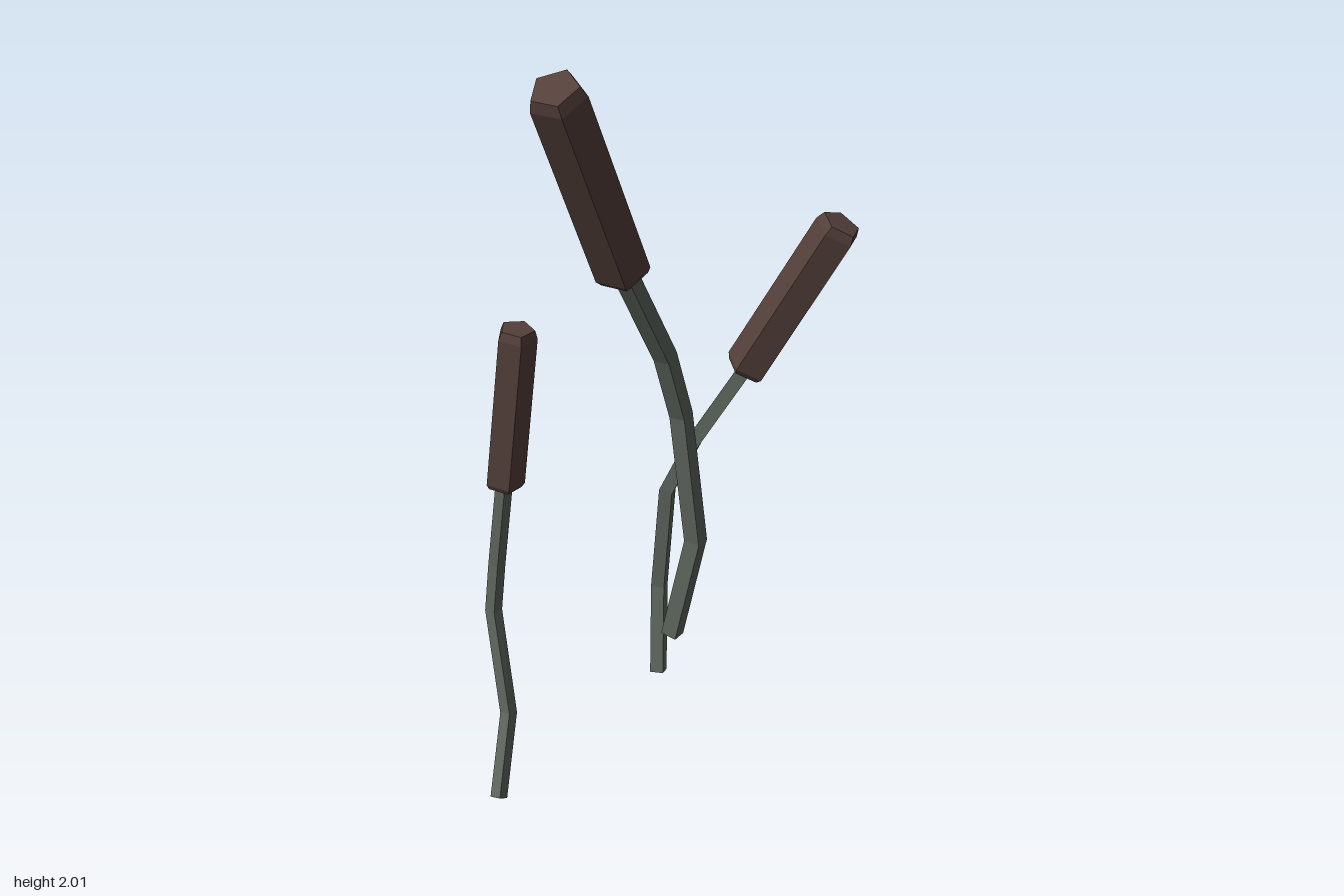
import * as THREE from 'three';

const V = (p) => new THREE.Vector3(...p);
const stemMat = new THREE.MeshStandardMaterial({ color: 0x5c645b, flatShading: true });
const headMat = new THREE.MeshStandardMaterial({ color: 0x54403a, flatShading: true });

// Closed prism swept along points, its sides turned towards the lean direction
function sweep(points, radii, sides, phase, lean) {
  const rings = points.map((p, i) => {
    const t = new THREE.Vector3();
    if (i > 0) t.add(p.clone().sub(points[i - 1]).normalize());
    if (i < points.length - 1) t.add(points[i + 1].clone().sub(p).normalize());
    t.normalize();
    const u = lean.clone().addScaledVector(t, -lean.dot(t)).normalize();
    const v = t.clone().cross(u);
    return Array.from({ length: sides }, (_, k) => {
      const a = phase + (k / sides) * Math.PI * 2;
      return p.clone()
        .addScaledVector(u, Math.cos(a) * radii[i])
        .addScaledVector(v, Math.sin(a) * radii[i]);
    });
  });
  const tris = [];
  const last = rings.length - 1;
  for (let k = 0; k < sides; k++) {
    const n = (k + 1) % sides;
    for (let i = 0; i < last; i++) {
      const [a, b, c, d] = [rings[i][k], rings[i][n], rings[i + 1][n], rings[i + 1][k]];
      tris.push(a, b, c, a, c, d);
    }
    tris.push(points[0], rings[0][n], rings[0][k]);
    tris.push(points[last], rings[last][k], rings[last][n]);
  }
  const geo = new THREE.BufferGeometry().setFromPoints(tris);
  geo.computeVertexNormals();
  return geo;
}

// One reed: bent square stem and five-sided seed head with bevelled ends
function reed({ name, stem, head, stemSide, headRadius }) {
  const group = new THREE.Group();
  group.name = name;
  const [bottom, top] = head.map(V);
  const lean = top.clone().sub(bottom).setY(0).normalize();

  const path = [...stem.map(V), bottom.clone().lerp(top, 0.05)];
  const stemMesh = new THREE.Mesh(
    sweep(path, path.map(() => stemSide * Math.SQRT1_2), 4, Math.PI / 4, lean), stemMat);
  stemMesh.name = 'stem';

  const steps = [0, 0.03, 0.95, 1].map((t) => bottom.clone().lerp(top, t));
  const radii = [0.85, 1, 1, 0.85].map((f) => f * headRadius);
  const headMesh = new THREE.Mesh(sweep(steps, radii, 5, Math.PI, lean), headMat);
  headMesh.name = 'seedHead';

  group.add(stemMesh, headMesh);
  return group;
}

export function createModel() {
  const model = new THREE.Group();
  model.name = 'reeds';
  model.add(
    reed({
      name: 'tallReed', stemSide: 0.046, headRadius: 0.075,
      stem: [[-0.025, 0.2, -0.32], [0.04, 0.51, -0.3], [0, 0.9, -0.288], [-0.04, 1.1, -0.225]],
      head: [[-0.14, 1.395, -0.085], [-0.285, 1.975, 0.18]],
    }),
    reed({
      name: 'backReed', stemSide: 0.038, headRadius: 0.064,
      stem: [[-0.068, 0.004, -0.435], [-0.066, 0.26, -0.488], [-0.042, 0.58, -0.465], [0.035, 0.745, -0.45]],
      head: [[0.172, 0.972, -0.425], [0.417, 1.425, -0.36]],
    }),
    reed({
      name: 'shortReed', stemSide: 0.03, headRadius: 0.05,
      stem: [[-0.442, 0.2, 0.492], [-0.42, 0.39, 0.392], [-0.456, 0.65, 0.322], [-0.444, 0.78, 0.32]],
      head: [[-0.417, 1.015, 0.343], [-0.37, 1.45, 0.378]],
    }),
  );
  return model;
}
